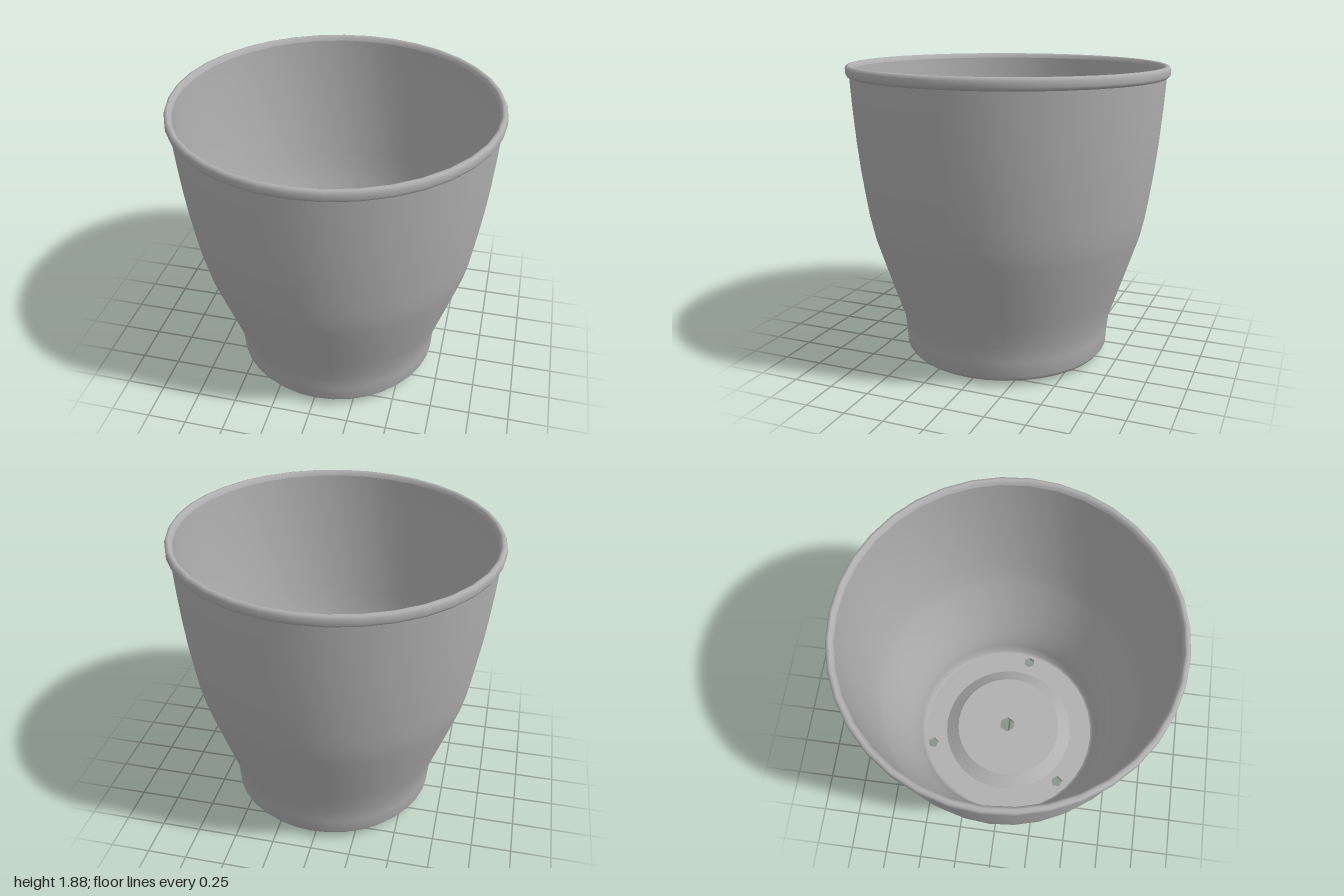
import * as THREE from 'three';

const SEG = 36;
const HEIGHT = 1.87;

// Slight lean of the base and slope of the rim
function lean(geo) {
  const p = geo.attributes.position;
  for (let i = 0; i < p.count; i++) {
    const x = p.getX(i), y = p.getY(i);
    p.setX(i, x + 0.018 * (1 - y / HEIGHT));
    p.setY(i, y + 0.008 * x * Math.max(0, y / HEIGHT));
  }
  return geo;
}

function lathe(points) {
  return lean(new THREE.LatheGeometry(points.map(([r, y]) => new THREE.Vector2(r, y)), SEG));
}

// Horizontal slab with round outline and holes; [x, z, radius, sides]
function slab(radius, holes, top, depth) {
  const ring = (x, z, r, n) => Array.from({ length: n }, (_, i) => {
    const a = (i / n) * Math.PI * 2;
    return new THREE.Vector2(x + r * Math.cos(a), z + r * Math.sin(a));
  });
  const shape = new THREE.Shape(ring(0, 0, radius, SEG));
  for (const h of holes) shape.holes.push(new THREE.Path(ring(...h)));
  const geo = new THREE.ExtrudeGeometry(shape, { depth, bevelEnabled: false });
  return lean(geo.rotateX(Math.PI / 2).translate(0, top, 0));
}

export function createModel() {
  const pot = new THREE.Group();
  pot.name = 'flowerPot';
  const grey = new THREE.MeshStandardMaterial({ color: 0xb0b0b0 });
  grey.name = 'grey plastic';
  const add = (name, geo) => {
    const mesh = new THREE.Mesh(geo, grey);
    mesh.name = name;
    pot.add(mesh);
    return mesh;
  };

  // Outer wall, from the rounded foot to under the rim
  add('outerWall', lathe([
    [0.6, 0.03], [0.635, 0.036], [0.657, 0.065], [0.664, 0.16], [0.675, 0.26],
    [0.725, 0.41], [0.785, 0.59], [0.853, 0.8], [0.88, 0.92], [0.899, 1.04],
    [0.925, 1.22], [0.945, 1.4], [0.962, 1.6], [0.975, 1.8],
  ]));

  // Rolled rim
  add('rim', lathe([
    [0.972, 1.797], [0.99, 1.805], [0.998, 1.82], [0.998, 1.85],
    [0.99, 1.867], [0.975, 1.871], [0.961, 1.863], [0.953, 1.84],
  ]));

  // Inner wall
  add('innerWall', lathe([
    [0.953, 1.84], [0.95, 1.75], [0.942, 1.6], [0.925, 1.4], [0.905, 1.22],
    [0.879, 1.04], [0.86, 0.92], [0.833, 0.8], [0.765, 0.59], [0.705, 0.41],
    [0.655, 0.26], [0.644, 0.16], [0.632, 0.08], [0.61, 0.068],
  ]));

  // Floor ring with three drain holes
  add('floorRing', slab(0.625, [
    [0, 0, 0.46, SEG],
    [-0.18, -0.54, 0.04, 5], [0.55, 0.09, 0.04, 6], [-0.355, 0.405, 0.042, 5],
  ], 0.07, 0.04));

  // Sloping step up to the raised middle, above and below
  add('floorStepTop', lathe([[0.46, 0.07], [0.42, 0.1], [0.37, 0.14]]));
  add('floorStepUnderside', lathe([[0.37, 0.11], [0.42, 0.07], [0.46, 0.03]]));

  // Raised middle with the central drain hole
  add('floorCentre', slab(0.37, [[0.01, -0.01, 0.055, 6]], 0.14, 0.03));

  // Three small feet between the drain holes
  for (const deg of [188, 65, 313]) {
    const a = deg * Math.PI / 180;
    const foot = add('foot', new THREE.CylinderGeometry(0.07, 0.025, 0.035, 10));
    foot.position.set(0.018 + 0.54 * Math.cos(a), 0.0175, 0.54 * Math.sin(a));
  }
  return pot;
}
